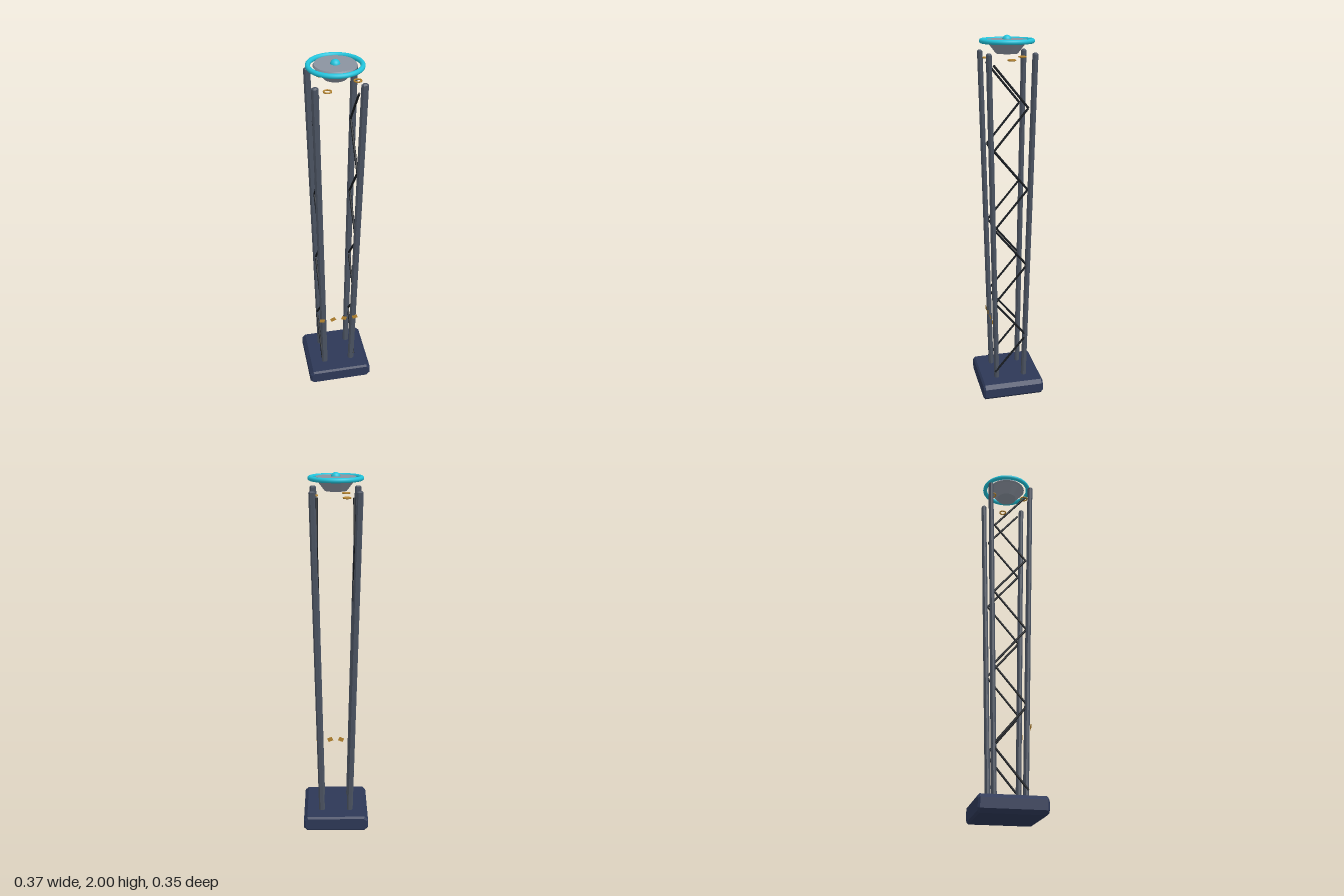
import * as THREE from 'three';

const mat = (color, extra = {}) => {
  const m = new THREE.MeshStandardMaterial({ color, ...extra });
  return m;
};

// Rectangle with cut corners, centred on the origin
function cutRect(w, h, c) {
  const x = w / 2, y = h / 2;
  return new THREE.Shape([
    [x - c, -y], [x, -y + c], [x, y - c], [x - c, y],
    [-x + c, y], [-x, y - c], [-x, -y + c], [-x + c, -y],
  ].map(([a, b]) => new THREE.Vector2(a, b)));
}

// Chamfered bar: w and h across, length along z, centred
function bar(w, h, length, cut, bevel) {
  const g = new THREE.ExtrudeGeometry(cutRect(w - 2 * bevel, h - 2 * bevel, cut), {
    depth: length - 2 * bevel, bevelEnabled: true, bevelSegments: 1,
    bevelSize: bevel, bevelThickness: bevel,
  });
  return g.translate(0, 0, -length / 2 + bevel);
}

export function createModel() {
  const model = new THREE.Group();
  const navy = mat(0x2d3857);
  const steel = mat(0x4b5361);
  const dark = mat(0x171b20);
  const cyan = mat(0x22c4dc);
  const grey = mat(0x8b93a0);
  const brass = mat(0xb8862f);
  const brassSheet = mat(0xb8862f, { side: THREE.DoubleSide });

  const add = (name, geometry, material, parent = model) => {
    const mesh = new THREE.Mesh(geometry, material);
    mesh.name = name;
    parent.add(mesh);
    return mesh;
  };

  // Base block
  add('base', bar(0.37, 0.09, 0.346, 0.014, 0.01).translate(0, 0.045, 0), navy);

  // Four legs spreading outwards towards the top
  const legs = new THREE.Group();
  legs.name = 'legs';
  model.add(legs);
  const y0 = 0.07, y1 = 1.92;
  for (const sx of [-1, 1]) for (const sz of [-1, 1]) {
    const g = bar(0.034, 0.026, y1 - y0, 0.004, 0.007)
      .rotateX(-Math.PI / 2).translate(0, (y0 + y1) / 2, 0);
    const p = g.attributes.position;
    for (let i = 0; i < p.count; i++) {
      const t = (p.getY(i) - y0) / (y1 - y0);
      p.setX(i, p.getX(i) + sx * (0.081 + 0.037 * t));
      p.setZ(i, p.getZ(i) + sz * (0.079 + 0.039 * t));
    }
    g.computeVertexNormals();
    add('leg', g, steel, legs);
  }

  // Zigzag braces on both sides
  const braces = new THREE.Group();
  braces.name = 'braces';
  model.add(braces);
  const up = new THREE.Vector3(0, 1, 0);
  const step = (1.86 - 0.13) / 8;
  for (const sx of [-1, 1]) for (let i = 0; i < 8; i++) {
    const s = i % 2 ? -1 : 1;
    const a = new THREE.Vector3(sx * 0.097, 0.13 + i * step, s * 0.09);
    const b = new THREE.Vector3(sx * 0.097, 0.13 + (i + 1) * step, -s * 0.09);
    const dir = b.clone().sub(a);
    const brace = add('brace', new THREE.CylinderGeometry(0.006, 0.006, dir.length(), 8), dark, braces);
    brace.position.copy(a).add(b).multiplyScalar(0.5);
    brace.quaternion.setFromUnitVectors(up, dir.normalize());
  }

  // Row of small tilted plates low on the front
  const plates = new THREE.Group();
  plates.name = 'plates';
  model.add(plates);
  for (let i = 0; i < 4; i++) {
    const plate = add('plate', new THREE.PlaneGeometry(0.03, 0.025), brassSheet, plates);
    plate.position.set(-0.097 + i * 0.0647, 0.45, 0.105);
    plate.rotation.z = [-0.2, 0.4, -0.4, 0.2][i];
  }

  // Three small flat rings under the dish
  const rings = new THREE.Group();
  rings.name = 'rings';
  model.add(rings);
  for (let i = 0; i < 3; i++) {
    const a = i * Math.PI * 2 / 3;
    const ring = add('ring', new THREE.TorusGeometry(0.018, 0.004, 8, 24).rotateX(Math.PI / 2), brass, rings);
    ring.position.set(0.11 * Math.cos(a), 1.885, 0.11 * Math.sin(a));
  }

  // Dish with flat top; doubled edge points keep its rims sharp
  const profile = [
    [0, 1.909], [0.056, 1.909], [0.056, 1.909], [0.098, 1.962], [0.098, 1.962],
    [0.106, 1.97], [0.106, 1.97], [0.101, 1.979], [0.101, 1.979], [0, 1.979],
  ].map(([r, y]) => new THREE.Vector2(r, y));
  add('dish', new THREE.LatheGeometry(profile, 48), grey);

  // Glowing rim and centre bead
  add('rim', new THREE.TorusGeometry(0.13, 0.012, 14, 64).rotateX(Math.PI / 2), cyan).position.y = 1.971;
  add('bead', new THREE.SphereGeometry(0.024, 24, 16), cyan).position.y = 1.976;

  return model;
}
